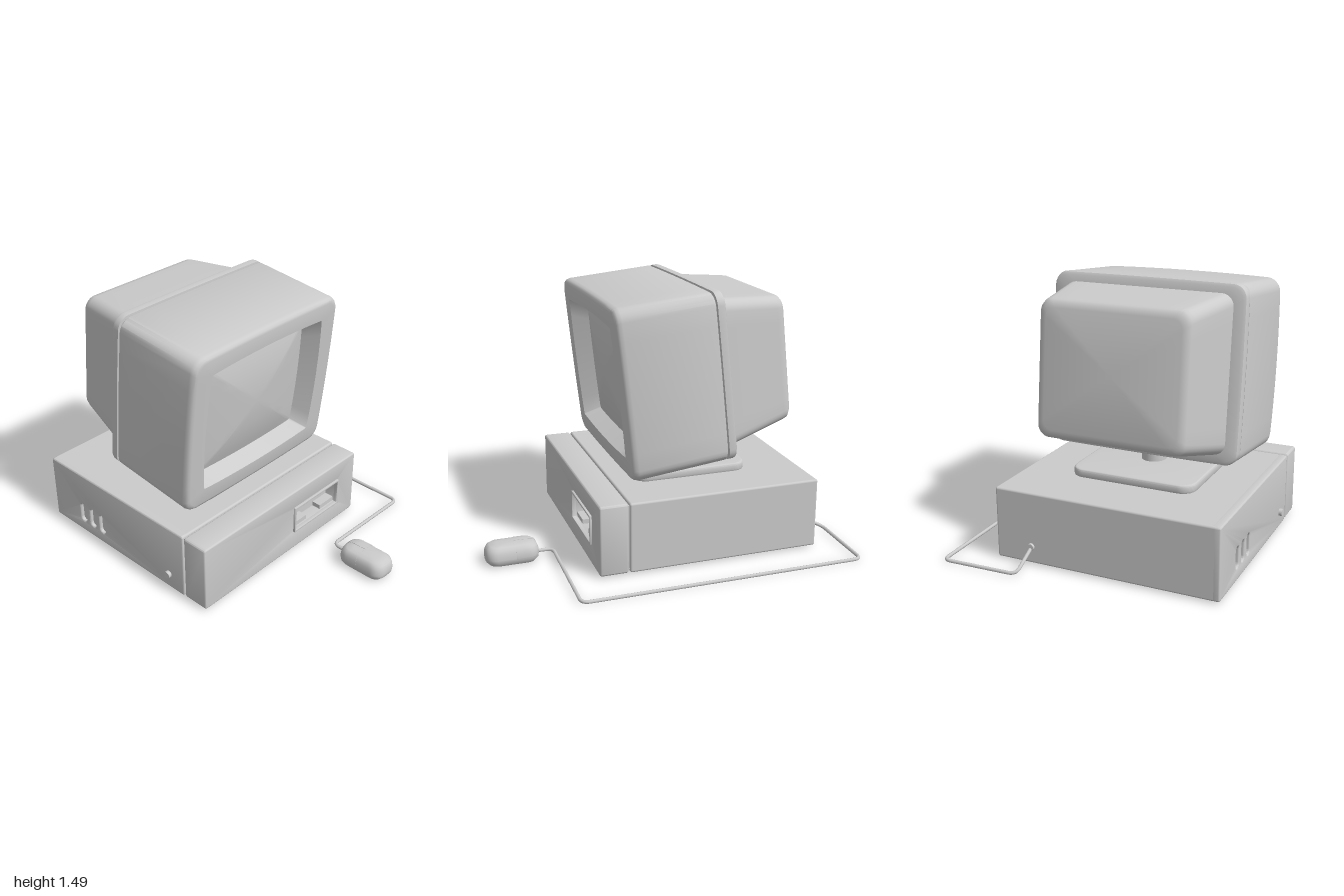
import * as THREE from 'three';
import { toCreasedNormals } from 'three/addons/utils/BufferGeometryUtils.js';
import { RoundedBoxGeometry } from 'three/addons/geometries/RoundedBoxGeometry.js';

const grey = new THREE.MeshStandardMaterial({ color: 0xcccccc, side: THREE.DoubleSide });
const CX = -0.115; // centre line of case and monitor

function add(parent, name, geometry, x = 0, y = 0, z = 0) {
  const mesh = new THREE.Mesh(geometry, grey);
  mesh.name = name;
  mesh.position.set(x, y, z);
  parent.add(mesh);
  return mesh;
}

// Rounded rectangle as a closed path
function roundRect(target, cx, cy, w, h, r) {
  const x = cx - w / 2, y = cy - h / 2, H = Math.PI / 2;
  target.moveTo(x + r, y);
  target.absarc(x + w - r, y + r, r, -H, 0);
  target.absarc(x + w - r, y + h - r, r, 0, H);
  target.absarc(x + r, y + h - r, r, H, 2 * H);
  target.absarc(x + r, y + r, r, 2 * H, 3 * H);
  return target;
}

// Bevelled plate in the xy plane, centred, with optional holes [cx, cy, w, h, r]
function slab(w, h, d, r, bevel, holes = []) {
  const shape = roundRect(new THREE.Shape(), 0, 0, w, h, r);
  holes.forEach(o => shape.holes.push(roundRect(new THREE.Path(), ...o)));
  const g = new THREE.ExtrudeGeometry(shape, {
    depth: d - 2 * bevel, bevelEnabled: true, bevelSize: bevel, bevelThickness: bevel,
    bevelOffset: -bevel, bevelSegments: 3, curveSegments: 6,
  });
  g.translate(0, 0, bevel - d / 2);
  return toCreasedNormals(g, 0.6);
}

// One cross-section: half width, half height, corner radius, side bulge, depth
function ring([hw, hh, r, bulge, z]) {
  const pts = [], arc = 6, side = 8;
  for (let c = 0; c < 4; c++) {
    const corner = (k, t) => {
      const a = (k + t) * Math.PI / 2;
      const sx = k % 4 === 0 || k % 4 === 3 ? 1 : -1, sy = k % 4 < 2 ? 1 : -1;
      return new THREE.Vector3(sx * (hw - r) + r * Math.cos(a), sy * (hh - r) + r * Math.sin(a), z);
    };
    for (let i = 0; i <= arc; i++) pts.push(corner(c, i / arc));
    const from = corner(c, 1), to = corner(c + 1, 0);
    for (let i = 1; i < side; i++) pts.push(from.clone().lerp(to, i / side));
  }
  pts.forEach(p => {
    const u = p.x / (hw || 1), v = p.y / (hh || 1);
    p.x *= 1 + bulge * (1 - v * v);
    p.y *= 1 + bulge * (1 - u * u);
  });
  return pts;
}

// Skin over cross-sections, listed from back to front (then inwards)
function loft(sections, rule) {
  const rings = sections.map(ring), n = rings[0].length, index = [];
  const pts = rings.flat();
  if (rule) pts.forEach(rule);
  for (let i = 0; i < rings.length - 1; i++) {
    for (let j = 0; j < n; j++) {
      const a = i * n + j, b = i * n + (j + 1) % n;
      index.push(a, b, a + n, b, b + n, a + n);
    }
  }
  const g = new THREE.BufferGeometry().setFromPoints(pts);
  g.setIndex(index);
  return toCreasedNormals(g, 0.65);
}

function makeCase() {
  const g = new THREE.Group();
  g.name = 'case';
  add(g, 'caseBody', new RoundedBoxGeometry(1.25, 0.4, 1.105, 3, 0.012), -0.105, 0.21, -0.2775);
  // Side panel with three vent slots
  const slots = [-0.57, -0.485, -0.4].map(z => [z + 0.2775, -0.07, 0.045, 0.12, 0.021]);
  add(g, 'ventPanel', slab(1.105, 0.4, 0.05, 0.013, 0.008, slots).rotateY(-Math.PI / 2), -0.725, 0.21, -0.2775);
  add(g, 'seamCore', new THREE.BoxGeometry(1.24, 0.37, 0.06), CX, 0.21, 0.28);
  // Front panel with an open drive bay
  const bx = 0.1625, by = 0.215;
  add(g, 'frontPanel', slab(1.27, 0.4, 0.157, 0.015, 0.01, [[bx - CX, by - 0.21, 0.37, 0.145, 0.002]]), CX, 0.21, 0.3635);
  add(g, 'bayFrame', slab(0.395, 0.17, 0.025, 0.003, 0.002, [[0, 0, 0.37, 0.146, 0.002]]), bx, by, 0.4425);
  add(g, 'bayBack', new THREE.BoxGeometry(0.38, 0.155, 0.02), bx, by, 0.36);
  for (const sx of [-1, 1]) {
    for (const sy of [-1, 1]) {
      add(g, 'bayTab', new THREE.BoxGeometry(0.122, 0.028, 0.06), bx + sx * 0.124, by + sy * 0.06, 0.395);
    }
  }
  add(g, 'powerButton', new THREE.CylinderGeometry(0.021, 0.021, 0.04, 20).rotateZ(Math.PI / 2), -0.75, 0.1, 0.16);
  add(g, 'cableSocket', new THREE.CylinderGeometry(0.02, 0.02, 0.03, 16).rotateX(Math.PI / 2), 0.31, 0.105, -0.83);
  return g;
}

function makeMonitor() {
  const g = new THREE.Group();
  g.name = 'monitor';
  g.position.set(CX, 0.95, 0.272);
  g.rotation.x = 0.11;
  add(g, 'backHousing', loft([
    [0, 0, 0, 0, -1.005], [0.37, 0.315, 0.05, 0, -1.005], [0.395, 0.34, 0.06, 0, -0.999],
    [0.412, 0.357, 0.065, 0, -0.983], [0.42, 0.364, 0.065, 0, -0.955], [0.485, 0.423, 0.065, 0, -0.59],
  ]));
  add(g, 'rearRim', loft([
    [0.46, 0.4, 0.05, 0, -0.606], [0.53, 0.455, 0.065, 0.005, -0.606], [0.544, 0.469, 0.07, 0.008, -0.598],
    [0.548, 0.473, 0.07, 0.008, -0.585], [0.548, 0.473, 0.07, 0.008, -0.556],
    [0.532, 0.457, 0.06, 0.008, -0.553], [0.532, 0.457, 0.06, 0.008, -0.53],
  ]));
  // Shell, rounded bezel edge and sloped opening
  add(g, 'frontHousing', loft([
    [0.5, 0.43, 0.06, 0.008, -0.545], [0.545, 0.468, 0.07, 0.01, -0.545], [0.549, 0.472, 0.07, 0.01, -0.538],
    [0.547, 0.476, 0.07, 0.022, -0.035], [0.543, 0.472, 0.07, 0.022, -0.016], [0.534, 0.463, 0.065, 0.022, -0.004],
    [0.52, 0.449, 0.06, 0.022, 0], [0.422, 0.362, 0.01, 0.045, 0], [0.374, 0.326, 0.015, 0.04, -0.095],
  ]));
  add(g, 'screen', loft([1, 0.85, 0.7, 0.55, 0.4, 0.2, 0].map(
    s => [0.376 * s, 0.328 * s, 0.015 * s, 0.04, -0.095 + 0.05 * (1 - s * s)])));
  return g;
}

function makeMouse() {
  const g = new THREE.Group();
  g.name = 'mouse';
  g.position.set(0.135, 0, 0.845);
  g.rotation.x = -Math.PI / 2;
  const body = [
    [0, 0, 0, 0, 0.005], [0.07, 0.128, 0.05, 0, 0.005], [0.085, 0.146, 0.062, 0, 0.025],
    [0.087, 0.148, 0.062, 0, 0.045], [0.082, 0.145, 0.06, 0, 0.075], [0.074, 0.136, 0.056, 0, 0.097],
    [0.06, 0.12, 0.048, 0, 0.109], [0.035, 0.08, 0.03, 0, 0.114], [0, 0, 0, 0, 0.115],
  ];
  add(g, 'mouseBody', loft(body));
  // Buttons: the body skin, slightly enlarged and clamped to one front quarter
  for (const s of [-1, 1]) {
    add(g, 'mouseButton', loft(body, p => {
      p.x = s * Math.max(s * p.x * 1.015, 0.0015);
      p.y = Math.max(p.y * 1.01, 0.015);
      p.z = Math.max(p.z + 0.0015, 0.037);
    }));
  }
  return g;
}

// Cable with rounded bends through a few points
function makeCable() {
  const pts = [
    [0.135, 0.036, 0.72], [0.135, 0.034, 0.61], [0.76, 0.013, 0.61],
    [0.76, 0.011, -0.99], [0.31, 0.018, -0.99], [0.31, 0.105, -0.82],
  ].map(p => new THREE.Vector3(...p));
  const path = new THREE.CurvePath();
  let start = pts[0];
  for (let i = 1; i < pts.length - 1; i++) {
    const toward = q => pts[i].clone().add(q.clone().sub(pts[i]).setLength(0.045));
    const a = toward(pts[i - 1]), b = toward(pts[i + 1]);
    path.add(new THREE.LineCurve3(start, a));
    path.add(new THREE.QuadraticBezierCurve3(a, pts[i], b));
    start = b;
  }
  path.add(new THREE.LineCurve3(start, pts[pts.length - 1]));
  return new THREE.TubeGeometry(path, 260, 0.01, 8);
}

export function createModel() {
  const model = new THREE.Group();
  model.name = 'desktopComputer';
  model.add(makeCase(), makeMonitor(), makeMouse());
  // Monitor stand
  add(model, 'standPlate', slab(0.715, 0.67, 0.05, 0.08, 0.012).rotateX(-Math.PI / 2), CX, 0.43, -0.185);
  add(model, 'standNeck', new THREE.CylinderGeometry(0.07, 0.07, 0.15, 32), CX, 0.515, -0.185);
  add(model, 'mouseCable', makeCable());
  return model;
}
